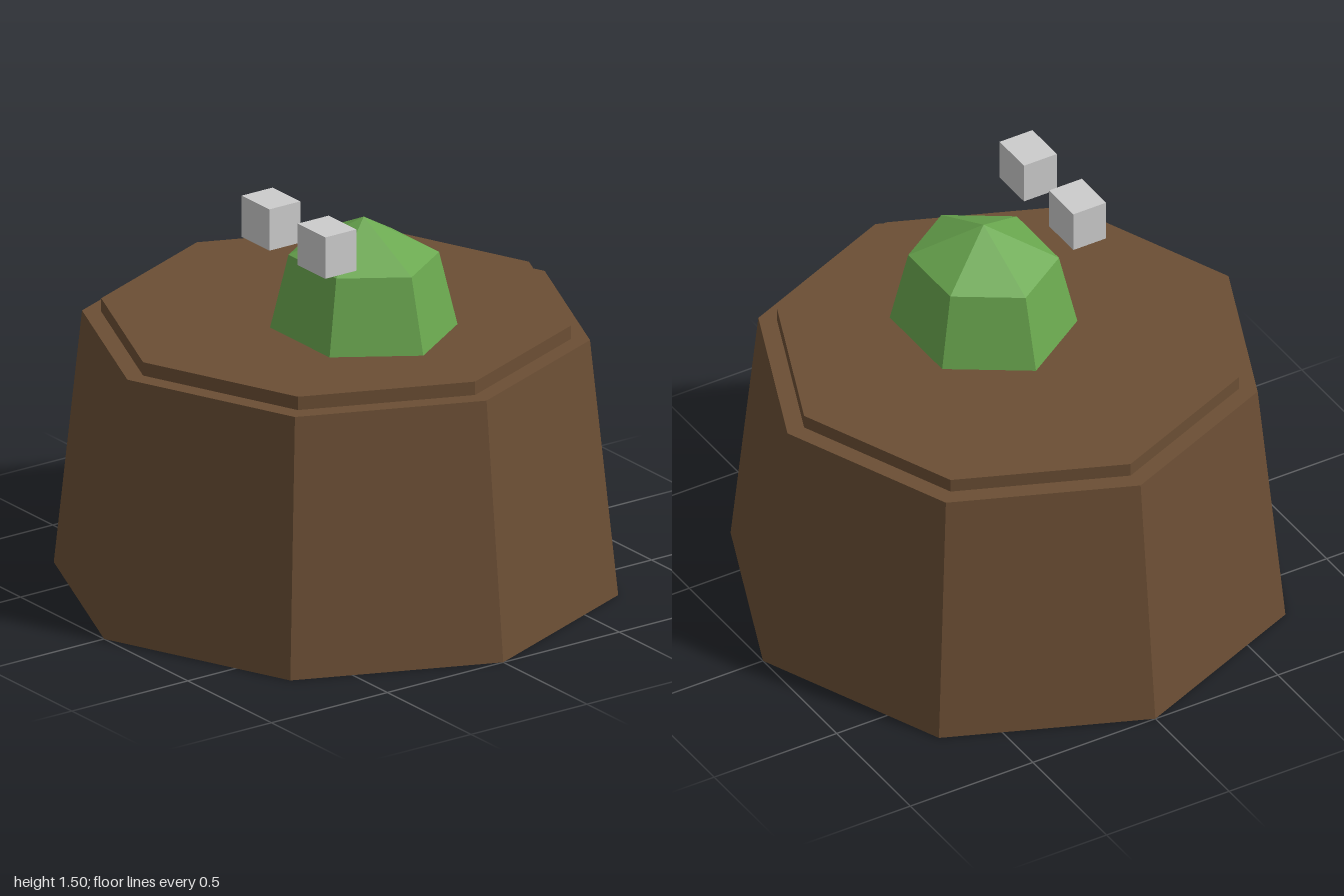
import * as THREE from 'three';

const flat = (name, color) => {
  const m = new THREE.MeshStandardMaterial({ color, flatShading: true });
  m.name = name;
  return m;
};

export function createModel() {
  const group = new THREE.Group();
  const brown = flat('brown', 0x6b4e34);
  const green = flat('green', 0x6aa84f);
  const grey = flat('grey', 0xcccccc);

  const add = (name, geometry, material, x, y, z) => {
    const mesh = new THREE.Mesh(geometry, material);
    mesh.name = name;
    mesh.position.set(x, y, z);
    group.add(mesh);
    return mesh;
  };

  // Tapered eight-sided base with a thin raised slab on top
  add('base', new THREE.CylinderGeometry(0.9, 1, 0.95, 8), brown, 0, 0.475, 0);
  add('topSlab', new THREE.CylinderGeometry(0.832, 0.832, 0.05, 8), brown, 0, 0.975, 0);

  // Six-sided mound: tapered body and pointed cap, slightly squashed in z
  const hex = (top, bottom, height, open) =>
    new THREE.CylinderGeometry(top, bottom, height, 6, 1, open, Math.PI / 2).scale(1, 1, 0.895);
  add('moundBody', hex(0.286, 0.356, 0.272, true), green, 0.166, 1.136, 0);
  add('moundCap', hex(0, 0.286, 0.138, true), green, 0.166, 1.341, 0);

  // Pair of floating blocks in front of the mound
  for (const [name, x] of [['rightBlock', 0.03], ['leftBlock', 0.365]]) {
    add(name, new THREE.BoxGeometry(0.165, 0.155, 0.134), grey, x, 1.426, 0.302);
  }
  return group;
}
